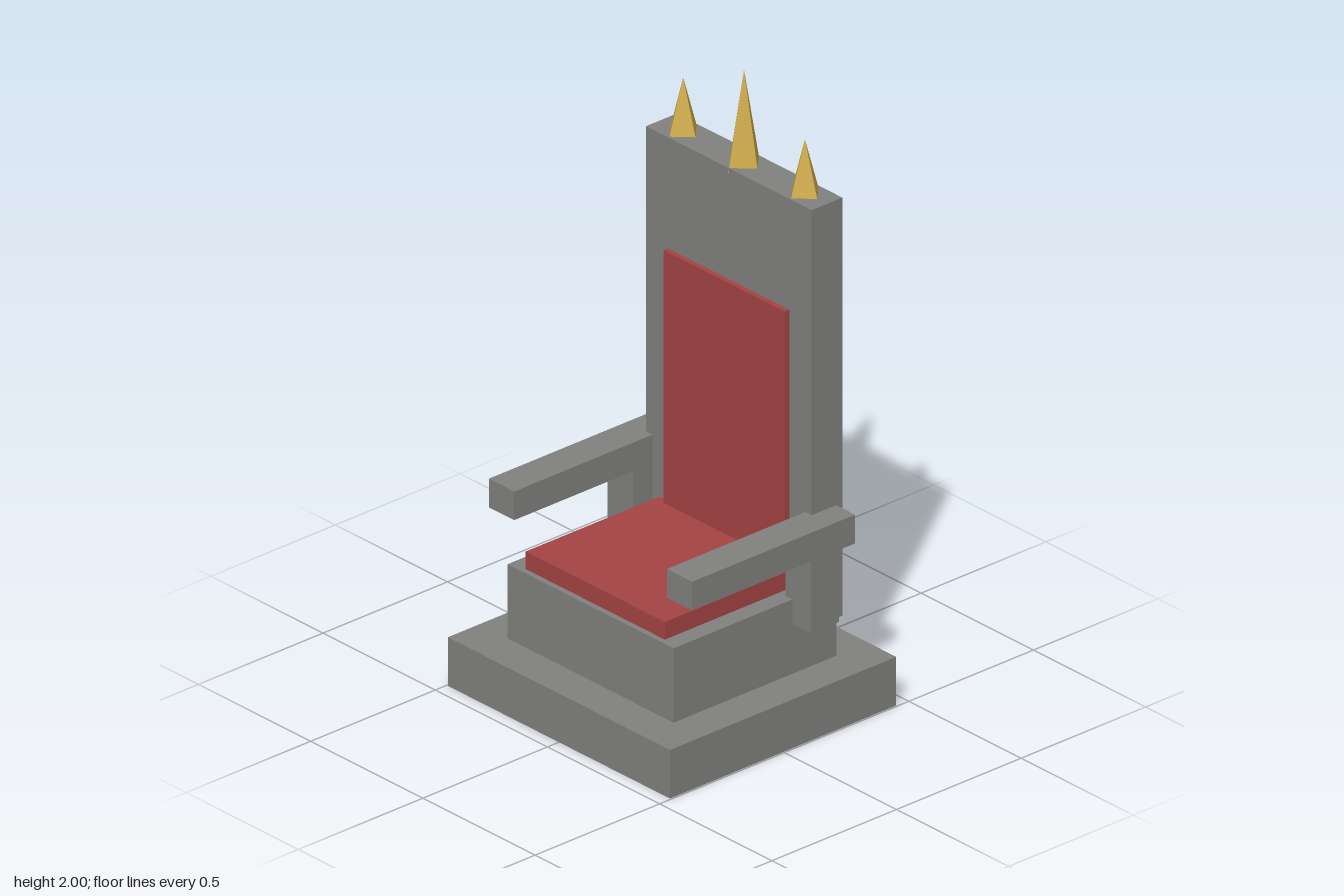
import * as THREE from 'three';

const material = (name, color) => {
  const m = new THREE.MeshStandardMaterial({ color });
  m.name = name;
  return m;
};

export function createModel() {
  const model = new THREE.Group();
  model.name = 'throne';
  const stone = material('grey stone', 0x80807e);
  const cloth = material('red cloth', 0xa44343);
  const gold = material('gold', 0xd0ac4a);

  // Box given by its extents along each axis
  const box = (name, mat, [x0, x1], [y0, y1], [z0, z1]) => {
    const mesh = new THREE.Mesh(new THREE.BoxGeometry(x1 - x0, y1 - y0, z1 - z0), mat);
    mesh.position.set((x0 + x1) / 2, (y0 + y1) / 2, (z0 + z1) / 2);
    mesh.name = name;
    model.add(mesh);
    return mesh;
  };

  // Plinth, seat block and tall back slab
  box('plinth', stone, [-0.495, 0.495], [0, 0.163], [-0.454, 0.454]);
  box('seatBlock', stone, [-0.37, 0.37], [0.163, 0.412], [-0.327, 0.327]);
  box('backSlab', stone, [-0.369, 0.369], [0.288, 1.69], [-0.351, -0.228]);

  // Upholstery
  box('seatCushion', cloth, [-0.31, 0.31], [0.412, 0.471], [-0.308, 0.308]);
  box('backCushion', cloth, [-0.27, 0.27], [0.46, 1.318], [-0.24, -0.21]);

  // Armrests on rear posts, mirrored
  for (const [side, s] of [['left', 1], ['right', -1]]) {
    const xs = [0.34 * s, 0.453 * s].sort((a, b) => a - b);
    box(side + 'Armrest', stone, xs, [0.571, 0.667], [-0.327, 0.327]);
    box(side + 'ArmPost', stone, xs, [0.33, 0.571], [-0.262, -0.15]);
  }

  // Four-sided spikes set into the top of the back
  for (const [name, x, radius, tip] of [
    ['leftSpike', 0.271, 0.06, 1.87],
    ['middleSpike', 0, 0.063, 2],
    ['rightSpike', -0.271, 0.06, 1.87],
  ]) {
    const bottom = 1.673;
    const geometry = new THREE.ConeGeometry(radius, tip - bottom, 4).toNonIndexed();
    geometry.computeVertexNormals();
    const spike = new THREE.Mesh(geometry, gold);
    spike.position.set(x, (tip + bottom) / 2, -0.289);
    spike.name = name;
    model.add(spike);
  }
  return model;
}
